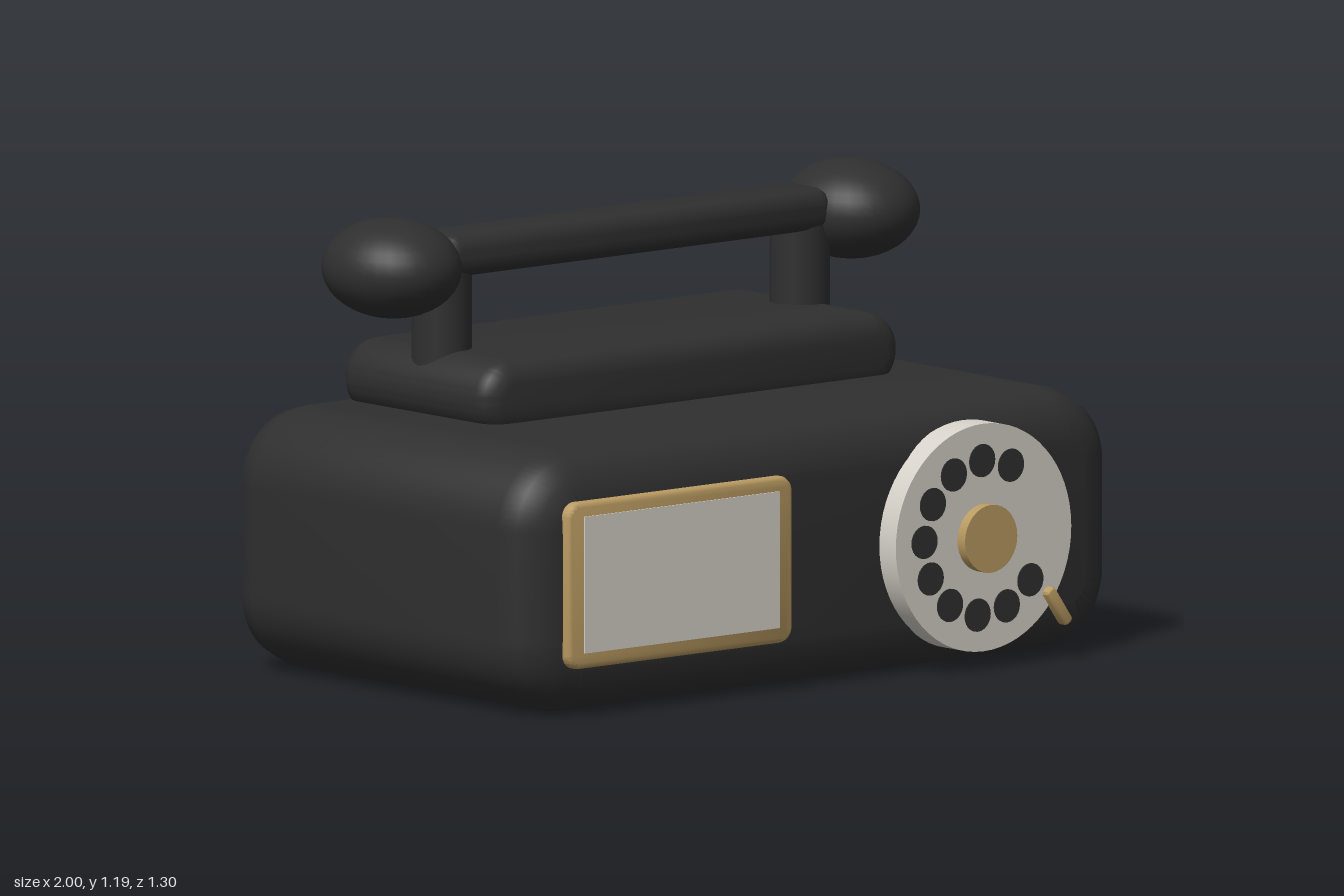
import * as THREE from 'three';
import { toCreasedNormals } from 'three/addons/utils/BufferGeometryUtils.js';

const black = new THREE.MeshStandardMaterial({ name: 'black shell', color: 0x2f2f2f });
const cream = new THREE.MeshStandardMaterial({ name: 'cream', color: 0xd6d2c9 });
const brass = new THREE.MeshStandardMaterial({ name: 'brass', color: 0xba9b62 });

// Rounded rectangle (corner radius r) extruded along z with bevel b, centred on the origin
function block(w, h, d, r, b, bevelSegments = 3) {
  const x = w / 2 - b, y = h / 2 - b, c = r - b;
  const s = new THREE.Shape();
  s.moveTo(-x + c, -y);
  s.lineTo(x - c, -y);
  s.absarc(x - c, -y + c, c, -Math.PI / 2, 0);
  s.lineTo(x, y - c);
  s.absarc(x - c, y - c, c, 0, Math.PI / 2);
  s.lineTo(-x + c, y);
  s.absarc(-x + c, y - c, c, Math.PI / 2, Math.PI);
  s.lineTo(-x, -y + c);
  s.absarc(-x + c, -y + c, c, Math.PI, Math.PI * 1.5);
  const g = new THREE.ExtrudeGeometry(s, {
    depth: d - 2 * b, bevelEnabled: true, bevelThickness: b, bevelSize: b,
    bevelSegments, curveSegments: 8,
  });
  g.translate(0, 0, -(d - 2 * b) / 2);
  return toCreasedNormals(g, 0.9);
}

// Disc facing +z
const disc = (r, d, n) => new THREE.CylinderGeometry(r, r, d, n).rotateX(Math.PI / 2);

export function createModel() {
  const model = new THREE.Group();
  model.name = 'telephone';
  const add = (parent, name, geometry, material, x, y, z) => {
    const m = new THREE.Mesh(geometry, material);
    m.name = name;
    m.position.set(x, y, z);
    parent.add(m);
    return m;
  };

  // Body and the cradle base on top
  add(model, 'body', block(2, 0.68, 1.205, 0.2, 0.12), black, 0, 0.34, -0.0475);
  add(model, 'cradleBase', block(1.4, 0.2, 0.6, 0.099, 0.055), black, 0, 0.74, -0.25);

  // Cradle posts and handset
  const handset = new THREE.Group();
  handset.name = 'handset';
  model.add(handset);
  const post = new THREE.CylinderGeometry(0.078, 0.078, 0.3, 20);
  const ball = new THREE.SphereGeometry(1, 32, 20).scale(0.171, 0.129, 0.193);
  for (const side of [-1, 1]) {
    add(model, 'cradlePost', post, black, side * 0.602, 0.91, -0.25);
    add(handset, 'handsetEnd', ball, black, side * 0.77, 1.064, -0.25);
  }
  add(handset, 'handsetGrip', block(1.3, 0.112, 0.176, 0.05, 0.04), black, 0, 1.084, -0.25);

  // Card panel
  add(model, 'panelFrame', block(0.755, 0.432, 0.05, 0.04, 0.012, 2), brass, -0.503, 0.344, 0.554);
  add(model, 'panelCard', new THREE.BoxGeometry(0.656, 0.354, 0.008), cream, -0.502, 0.346, 0.579);

  // Rotary dial
  const dial = new THREE.Group();
  dial.name = 'dial';
  dial.position.set(0.479, 0.342, 0);
  model.add(dial);
  add(dial, 'dialPlate', disc(0.295, 0.08, 64), cream, 0, 0, 0.58);
  add(dial, 'dialHub', disc(0.088, 0.04, 32), brass, 0, 0, 0.63);
  const hole = disc(0.043, 0.008, 24);
  for (let i = 0; i < 10; i++) {
    const a = THREE.MathUtils.degToRad(63 + i * 28.7);
    add(dial, 'fingerHole', hole, black, 0.2 * Math.cos(a), 0.2 * Math.sin(a), 0.619);
  }
  const stop = add(dial, 'fingerStop', block(0.115, 0.032, 0.032, 0.012, 0.008, 2), brass, 0.24, -0.2, 0.627);
  stop.rotation.z = THREE.MathUtils.degToRad(-55);

  return model;
}
